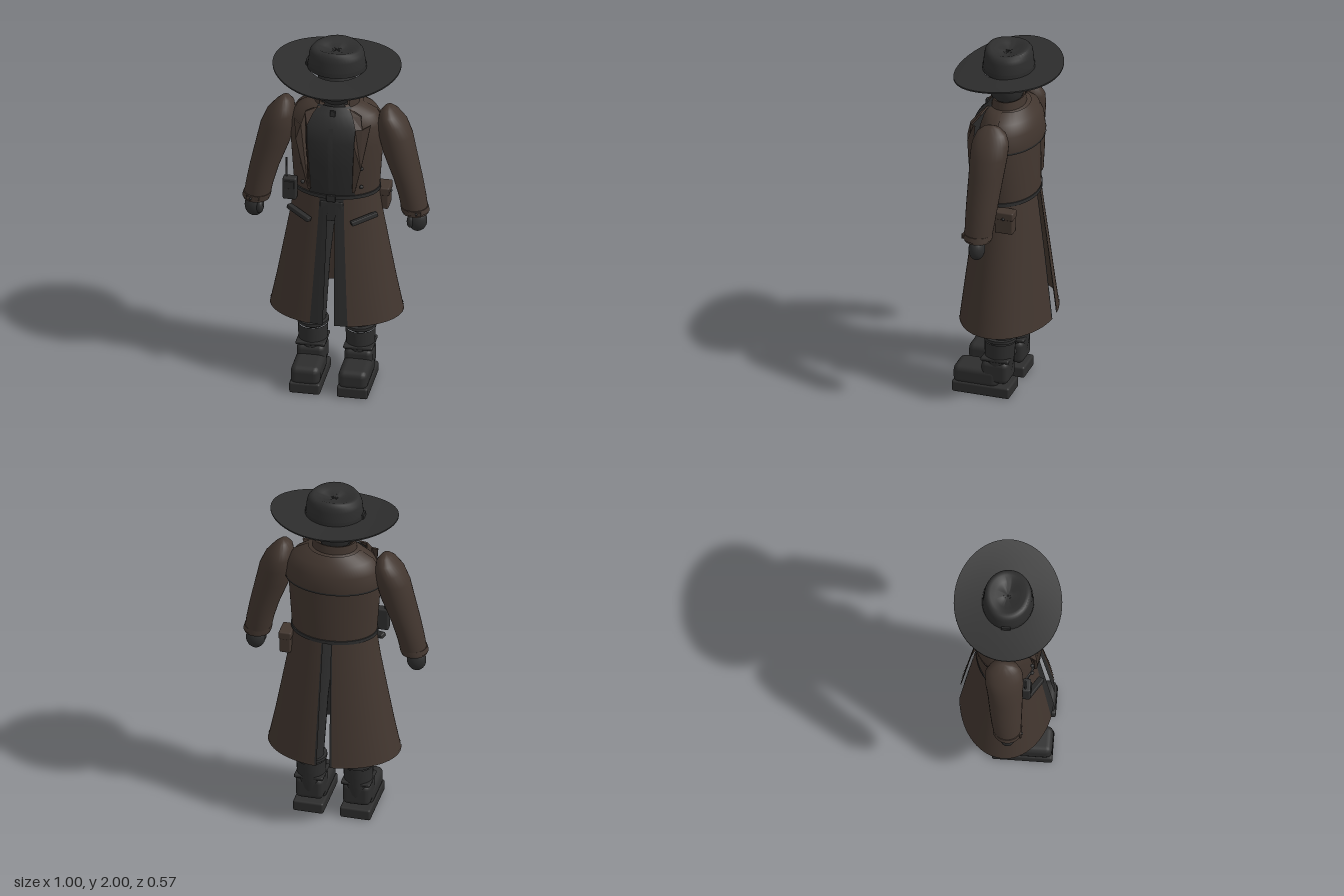
import * as THREE from 'three';
import { toCreasedNormals } from 'three/addons/utils/BufferGeometryUtils.js';
import { RoundedBoxGeometry } from 'three/addons/geometries/RoundedBoxGeometry.js';

const brown = new THREE.MeshStandardMaterial({ color: 0x42362f, side: THREE.DoubleSide });
brown.name = 'coat brown';
const dark = new THREE.MeshStandardMaterial({ color: 0x2a2a2a, side: THREE.DoubleSide });
dark.name = 'charcoal cloth';
const black = new THREE.MeshStandardMaterial({ color: 0x2d2d2d });
black.name = 'black felt and leather';

// Surface from a rule: u runs around (front towards +x), v runs along.
function grid(fn, nu, nv) {
  const pos = [], idx = [];
  for (let j = 0; j <= nv; j++)
    for (let i = 0; i <= nu; i++) pos.push(...fn(i / nu, j));
  for (let j = 0; j < nv; j++)
    for (let i = 0; i < nu; i++) {
      const a = j * (nu + 1) + i, d = a + nu + 1;
      idx.push(a, a + 1, d, a + 1, d + 1, d);
    }
  const g = new THREE.BufferGeometry();
  g.setAttribute('position', new THREE.Float32BufferAttribute(pos, 3));
  g.setIndex(idx);
  return toCreasedNormals(g, 0.9);
}

// Elliptical sections, bottom to top: [y, rx, zFront, zBack, cx, cz]
function loft(rows, t0 = 0, t1 = Math.PI * 2, n = 40) {
  return grid((u, j) => {
    const [y, rx, zf, zb = zf, cx = 0, cz = 0] = rows[j];
    const t = t0 + (t1 - t0) * u, c = Math.cos(t);
    return [cx + Math.sin(t) * rx, y, cz + c * (c > 0 ? zf : zb)];
  }, n, rows.length - 1);
}

export function createModel() {
  const model = new THREE.Group();
  model.name = 'coatedFigure';
  const add = (name, geo, mat, x = 0, y = 0, z = 0, parent = model) => {
    const m = new THREE.Mesh(geo, mat);
    m.name = name;
    m.position.set(x, y, z);
    parent.add(m);
    return m;
  };
  const box = (w, h, d, r = 0.01) => new RoundedBoxGeometry(w, h, d, 2, r);
  const PI = Math.PI;

  // Head and neck
  add('head', new THREE.SphereGeometry(1, 32, 20), black, 0, 1.785, 0.01).scale.set(0.1, 0.145, 0.098);
  add('neck', new THREE.CylinderGeometry(0.068, 0.085, 0.14, 24), black, 0, 1.66, 0);

  // Hat: curved brim, dented crown, band
  const brim = [[0, -1], [0.5, -1], [1, -1], [1, 1], [0.5, 1], [0, 1], [0, -1]];
  add('hatBrim', grid((u, j) => {
    const [k, s] = brim[j], t = u * PI * 2, c = Math.cos(t);
    const inner = 1.868 - 0.012 * c - 0.008 * c * c;
    const outer = 1.885 - 0.029 * c - 0.033 * c * c;
    return [Math.sin(t) * (0.15 + 0.192 * k), inner + (outer - inner) * k * (0.4 + 0.6 * k) + s * 0.004,
      c * (0.13 + 0.156 * k)];
  }, 64, 6), black);
  const crown = [[0.155, 1.87], [0.153, 1.9], [0.148, 1.95], [0.142, 1.98], [0.128, 1.997], [0.108, 1.998],
    [0.075, 1.985], [0.035, 1.975], [0, 1.972]];
  add('hatCrown', grid((u, j) => {
    const [r, y] = crown[j], t = u * PI * 2;
    return [Math.sin(t) * r, y - (j > 2 ? 0.012 * Math.sin(t) ** 2 : 0), Math.cos(t) * r * 0.87];
  }, 48, crown.length - 1), black);
  add('hatBand', loft([[1.872, 0.158, 0.138], [1.897, 0.156, 0.136]]), dark);
  add('hatBow', box(0.012, 0.03, 0.05, 0.004), dark, -0.158, 1.885, 0);

  // Coat body, back cape and collar
  add('coatBody', loft([[1.16, 0.228, 0.155, 0.165], [1.3, 0.238, 0.157, 0.163], [1.45, 0.248, 0.153, 0.158],
    [1.56, 0.245, 0.138, 0.155], [1.62, 0.215, 0.12, 0.14], [1.66, 0.15, 0.1, 0.11], [1.675, 0.1, 0.07, 0.08]],
  0.52, PI * 2 - 0.52, 56), brown);
  add('backCape', loft([[1.475, 0.262, 0.16, 0.186], [1.485, 0.264, 0.16, 0.188], [1.57, 0.255, 0.15, 0.178],
    [1.63, 0.215, 0.13, 0.158], [1.67, 0.14, 0.1, 0.115]], 1.65, PI * 2 - 1.65), brown);
  add('capeHem', loft([[1.474, 0.266, 0.16, 0.19], [1.484, 0.266, 0.16, 0.19]], 1.65, PI * 2 - 1.65), dark);
  add('collar', loft([[1.62, 0.125, 0.1, 0.1], [1.715, 0.115, 0.085, 0.085], [1.71, 0.1, 0.075, 0.075],
    [1.63, 0.1, 0.075, 0.075]], 0.75, PI * 2 - 0.75), brown);

  // Shirt front, as a bowed thin panel
  const bow = [[1.16, 0.155, 0.122], [1.2, 0.16, 0.122], [1.35, 0.18, 0.128], [1.5, 0.188, 0.137],
    [1.585, 0.168, 0.14], [1.64, 0.12, 0.115], [1.67, 0.085, 0.085]];
  const bowZ = y => {
    let k = 0;
    while (k < bow.length - 2 && y > bow[k + 1][0]) k++;
    const [a, b] = [bow[k], bow[k + 1]];
    return a[1] + (b[1] - a[1]) * (y - a[0]) / (b[0] - a[0]);
  };
  add('shirtFront', grid((u, j) => [(u * 2 - 1) * bow[j][2], bow[j][0], bow[j][1] - 0.02 * (u * 2 - 1) ** 2],
    8, bow.length - 1), dark);
  add('placket', grid((u, j) => [(u - 0.5) * 0.026, [1.2, 1.35, 1.5, 1.585][j], bowZ([1.2, 1.35, 1.5, 1.585][j]) + 0.005],
    1, 3), black);
  add('collarTab', box(0.03, 0.04, 0.012, 0.004), black, 0, 1.645, 0.12);

  // Belt and buckle
  add('belt', loft([[1.152, 0.228, 0.158, 0.168], [1.153, 0.234, 0.165, 0.172], [1.173, 0.234, 0.165, 0.172],
    [1.174, 0.228, 0.158, 0.168]]), black);
  add('buckle', box(0.05, 0.04, 0.015, 0.004), dark, 0, 1.16, 0.168);
  add('frontPouch', box(0.125, 0.12, 0.05), black, 0, 1.075, 0.135);

  // Parts repeated on both sides
  for (const s of [1, -1]) {
    const side = new THREE.Group();
    side.name = s > 0 ? 'leftSide' : 'rightSide';
    model.add(side);
    const part = (name, geo, mat, x = 0, y = 0, z = 0) => add(name, geo, mat, s * x, y, z, side);
    const ang = (a, b) => (s > 0 ? [a, b] : [-b, -a]);

    // Coat skirt with dark front edge and open back vent
    const skirt = [[0.43, 0.355, 0.245, 0.253], [0.6, 0.32, 0.225, 0.233], [0.8, 0.283, 0.2, 0.21],
      [1, 0.247, 0.175, 0.185], [1.16, 0.225, 0.155, 0.165]];
    part('coatSkirt', loft(skirt, ...ang(0.29, PI - 0.1), 32), brown);
    part('skirtEdge', loft(skirt, ...ang(0.085, 0.29), 4), dark);
    const hem = [[0.428, 0.358, 0.248, 0.256], [0.44, 0.356, 0.246, 0.254]];
    part('skirtHem', loft(hem, ...ang(0.29, PI - 0.1), 32), brown);
    part('ventEdge', loft(skirt.map(([y, a, b, c]) => [y, a + 0.003, b, c + 0.003]), ...ang(PI - 0.13, PI - 0.1), 2), dark);
    const welt = part('pocketWelt', box(0.15, 0.026, 0.035, 0.006), dark, 0.175, 1.045, 0.15);
    welt.rotation.set(-0.25, s * 0.45, s * 0.36);

    // Lapel, bent along the shirt front
    const pts = [[0.085, 1.665], [0.15, 1.64], [0.165, 1.585], [0.205, 1.6], [0.19, 1.5], [0.16, 1.35], [0.125, 1.2],
      [0.112, 1.2], [0.118, 1.35], [0.127, 1.5], [0.13, 1.585], [0.105, 1.64]];
    const lapel = new THREE.ExtrudeGeometry(new THREE.Shape(pts.map(([x, y]) => new THREE.Vector2(s * x, y))),
      { depth: 0.012, bevelEnabled: false });
    const p = lapel.attributes.position;
    for (let i = 0; i < p.count; i++)
      p.setZ(i, p.getZ(i) + bowZ(p.getY(i)) - 0.012 - Math.max(0, Math.abs(p.getX(i)) - 0.13) * 0.35);
    lapel.computeVertexNormals();
    part('lapel', lapel, brown);
    for (const y of [1.23, 1.34, 1.45])
      part('coatButton', new THREE.SphereGeometry(0.011, 10, 8), black, 0.158, y, 0.13 + 0.01);

    // Sleeve, cuff strap and fist
    const arm = [[1.05, 0.07, 0.072, 0.072, 0.427, 0.028], [1.15, 0.073, 0.08, 0.08, 0.409, 0.022],
      [1.25, 0.078, 0.086, 0.086, 0.385, 0.017], [1.4, 0.09, 0.094, 0.094, 0.34, 0.01],
      [1.5, 0.091, 0.101, 0.101, 0.317, 0.004], [1.57, 0.078, 0.1, 0.1, 0.3, 0], [1.62, 0.053, 0.08, 0.08, 0.284, 0],
      [1.65, 0.027, 0.045, 0.045, 0.279, 0], [1.662, 0, 0, 0, 0.28, 0]];
    part('sleeve', loft(arm.map(r => [...r.slice(0, 4), s * r[4], r[5]]), 0, PI * 2, 28), brown);
    part('cuffStrap', loft([[1.062, 0.069, 0.072, 0.072, s * 0.427, 0.028], [1.062, 0.075, 0.077, 0.077, s * 0.427, 0.028],
      [1.088, 0.074, 0.077, 0.077, s * 0.421, 0.028], [1.088, 0.069, 0.072, 0.072, s * 0.421, 0.028]], 0, PI * 2, 28), brown);
    part('cuffEnd', new THREE.CircleGeometry(0.068, 24).rotateX(PI / 2), dark, 0.427, 1.055, 0.028);
    part('cuffTab', box(0.07, 0.026, 0.01, 0.004), brown, 0.435, 1.075, 0.1);
    part('cuffButton', new THREE.SphereGeometry(0.007, 8, 6), black, 0.445, 1.075, 0.106);
    part('fist', new THREE.SphereGeometry(1, 20, 14), black, 0.438, 1.0, 0.03).scale.set(0.052, 0.063, 0.043);
    part('thumb', new THREE.SphereGeometry(1, 12, 10), black, 0.405, 1.0, 0.055).scale.set(0.02, 0.036, 0.022);

    // Trousers
    part('trouserLeg', loft([[0.3, 0.066, 0.07, 0.07, s * 0.128, -0.004], [0.7, 0.078, 0.085, 0.085, s * 0.115, 0],
      [1, 0.095, 0.11, 0.11, s * 0.1, 0], [1.15, 0.105, 0.12, 0.12, s * 0.1, 0]], 0, PI * 2, 24), black);

    // Boots
    part('bootShaft', loft([[0.12, 0.072, 0.072, 0.07, s * 0.128, 0.012], [0.2, 0.076, 0.078, 0.078, s * 0.128, 0.008],
      [0.31, 0.08, 0.084, 0.084, s * 0.128, 0.003]], 0, PI * 2, 24), black);
    part('bootTop', loft([[0.315, 0.07, 0.07, 0.07, s * 0.128, 0.003], [0.318, 0.084, 0.088, 0.088, s * 0.128, 0.003],
      [0.335, 0.084, 0.088, 0.088, s * 0.128, 0.003], [0.338, 0.064, 0.068, 0.068, s * 0.128, 0.003]], 0, PI * 2, 24), black);
    part('ankle', box(0.152, 0.13, 0.15, 0.03), black, 0.128, 0.14, 0.016);
    part('ankleStrap', box(0.158, 0.02, 0.156, 0.008), dark, 0.128, 0.215, 0.012);
    part('bootFoot', box(0.158, 0.11, 0.25, 0.035), black, 0.128, 0.1, 0.122);
    part('bootSole', box(0.166, 0.064, 0.32, 0.012), black, 0.128, 0.032, 0.089);
  }

  // Radio on the right hip
  add('radio', box(0.075, 0.13, 0.045), black, -0.23, 1.175, 0.115);
  add('radioPanel', box(0.05, 0.045, 0.008, 0.003), dark, -0.23, 1.2, 0.139);
  add('radioAerial', new THREE.CylinderGeometry(0.005, 0.006, 0.12, 8), black, -0.25, 1.29, 0.11);

  // Pouch with flap on the left hip
  add('hipPouch', box(0.06, 0.11, 0.1, 0.008), brown, 0.243, 1.075, -0.062);
  add('hipPouchFlap', box(0.068, 0.045, 0.108, 0.008), brown, 0.244, 1.125, -0.062);
  add('hipPouchStud', new THREE.SphereGeometry(0.008, 8, 6), black, 0.278, 1.11, -0.062);
  return model;
}
